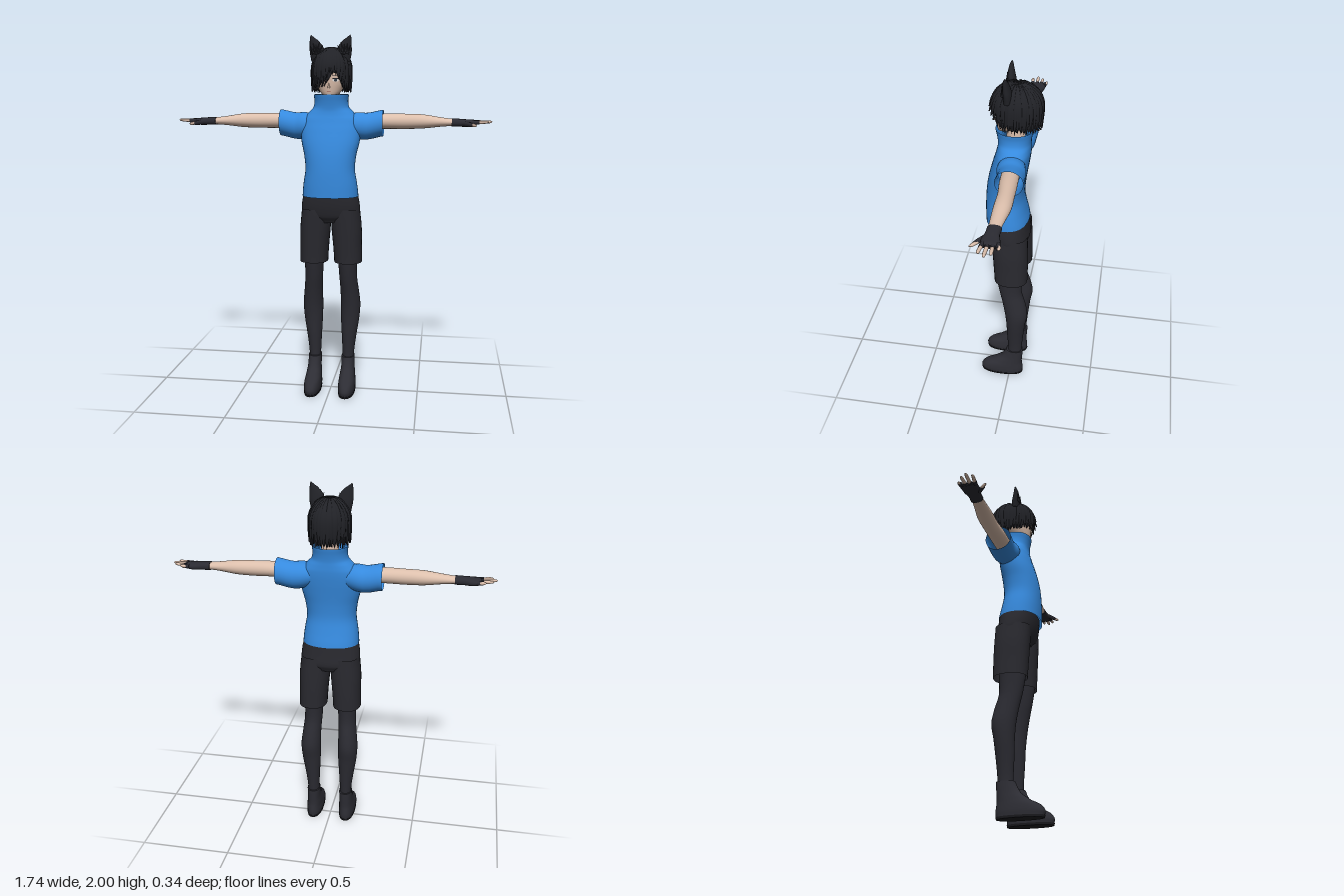
import * as THREE from 'three';

const mat = (name, color, side = THREE.FrontSide) => {
  const m = new THREE.MeshStandardMaterial({ color, side });
  m.name = name;
  return m;
};

// Catmull-Rom resampling of cross-section rows [t, c1, c2, r1, r2]
function resample(rows, k = 4) {
  const out = [], n = rows.length, at = (i) => rows[Math.min(n - 1, Math.max(0, i))];
  const spline = (a, b, c, d, f) =>
    b + 0.5 * f * (c - a + f * (2 * a - 5 * b + 4 * c - d + f * (3 * (b - c) + d - a)));
  for (let i = 0; i < n - 1; i++) for (let j = 0; j < k; j++) {
    const f = j / k, p = at(i - 1), q = at(i), r = at(i + 1), s = at(i + 2);
    out.push(q.map((v, d) => (d === 0 ? v + (r[0] - v) * f : spline(p[d], v, r[d], s[d], f))));
  }
  out.push(rows[n - 1]);
  return out;
}

function makeGeometry(pos, idx) {
  const g = new THREE.BufferGeometry();
  g.setAttribute('position', new THREE.Float32BufferAttribute(pos, 3));
  g.setIndex(idx);
  g.computeVertexNormals();
  return g;
}

// Smooth tube of rounded sections along y or x; rows run upward / outward
function loft(rows, { axis = 'y', seg = 28, power = 2, caps = true } = {}) {
  const R = resample(rows), pos = [], idx = [], up = axis === 'y';
  const put = (t, a, b) => (up ? pos.push(a, t, b) : pos.push(t, a, b));
  const tri = (a, b, c) => (up ? idx.push(a, c, b) : idx.push(a, b, c));
  const sq = (v) => Math.sign(v) * Math.abs(v) ** (2 / power);
  const ring = ([t, c1, c2, r1, r2]) => {
    for (let j = 0; j < seg; j++) {
      const th = (j / seg) * Math.PI * 2;
      put(t, c1 + r1 * sq(Math.cos(th)), c2 + r2 * sq(Math.sin(th)));
    }
  };
  R.forEach(ring);
  for (let i = 0; i < R.length - 1; i++) for (let j = 0; j < seg; j++) {
    const a = i * seg + j, b = i * seg + (j + 1) % seg;
    tri(a, b, a + seg);
    tri(b, b + seg, a + seg);
  }
  if (caps) [R[0], R[R.length - 1]].forEach((row, end) => {
    const o = pos.length / 3;
    ring(row);
    put(row[0], row[1], row[2]);
    for (let j = 0; j < seg; j++) {
      const a = o + j, b = o + (j + 1) % seg;
      if (end) tri(o + seg, a, b);
      else tri(o + seg, b, a);
    }
  });
  return makeGeometry(pos, idx);
}

function mirrored(geo) {
  const g = geo.clone(), p = g.attributes.position, ix = g.index.array;
  for (let i = 0; i < p.count; i++) p.setX(i, -p.getX(i));
  for (let i = 0; i < ix.length; i += 3) [ix[i + 1], ix[i + 2]] = [ix[i + 2], ix[i + 1]];
  g.computeVertexNormals();
  return g;
}

// Point on the hair surface: azimuth a (0 = front), s from crown (0) to tip (1)
function hairPoint(a, s, yEnd, grow) {
  const d = s * (0.18 + 1.82 - yEnd);
  let y, r;
  if (d < 0.18) {
    const phi = (d / 0.18) * Math.PI / 2;
    y = 1.82 + (0.115 + grow) * Math.cos(phi);
    r = Math.sin(phi);
  } else {
    y = 1.82 - (d - 0.18);
    r = 1 - 0.2 * ((1.82 - y) / 0.13) ** 2;
  }
  return new THREE.Vector3((0.105 + grow) * r * Math.sin(a), y, -0.025 + (0.127 + grow) * r * Math.cos(a));
}

// Lower hair edge by azimuth, leaving the left half of the face open
const edgeTable = [[-3.15, 1.7], [-1.9, 1.7], [-1.0, 1.71], [-0.6, 1.73], [-0.3, 1.735], [-0.08, 1.775],
  [0.1, 1.8], [0.45, 1.785], [0.62, 1.75], [0.9, 1.71], [1.9, 1.7], [3.15, 1.7]];
function hairEdge(a) {
  const i = Math.max(1, edgeTable.findIndex((e) => e[0] >= a));
  const [p, q] = [edgeTable[i - 1], edgeTable[i]];
  return p[1] + (q[1] - p[1]) * (a - p[0]) / (q[0] - p[0]);
}

// Tapered ridge-backed lock of hair
function lock(a0, a1, yEnd, width, flare) {
  const pos = [], idx = [], n = 10;
  for (let i = 0; i <= n; i++) {
    const s = 0.08 + 0.92 * i / n, a = a0 + (a1 - a0) * s * s;
    const p = hairPoint(a, s, yEnd, 0.003);
    const N = new THREE.Vector3(Math.sin(a), 0.25, Math.cos(a));
    const T = new THREE.Vector3(Math.cos(a), 0, -Math.sin(a));
    p.addScaledVector(N, flare * s ** 5);
    const w = width * Math.min(1, s * 2) * (1 - s ** 4) + 0.0004;
    for (const k of [-1, 0, 1]) {
      pos.push(...p.clone().addScaledVector(T, k * w).addScaledVector(N, k ? -0.002 : 0.005).toArray());
    }
    if (i) for (const k of [0, 1]) {
      const u = (i - 1) * 3 + k;
      idx.push(u, u + 3, u + 1, u + 1, u + 3, u + 4);
    }
  }
  return makeGeometry(pos, idx);
}

export function createModel() {
  const model = new THREE.Group();
  const skin = mat('skin', 0xdcbfac), shirt = mat('blue cloth', 0x368ade, THREE.DoubleSide);
  const shorts = mat('shorts cloth', 0x29292f, THREE.DoubleSide), tights = mat('tights', 0x2b2b32);
  const boot = mat('boot leather', 0x2d2d34), sole = mat('sole', 0x1b1b1f);
  const hair = mat('hair', 0x212227, THREE.DoubleSide), white = mat('eye white', 0xe8e6e4);
  const iris = mat('iris', 0x35404c), lip = mat('lip', 0xb98478);

  const add = (name, geo, m) => {
    const mesh = new THREE.Mesh(geo, m);
    mesh.name = name;
    model.add(mesh);
  };
  const pair = (name, geo, m) => {
    add('left' + name, geo, m);
    add('right' + name, mirrored(geo), m);
  };

  // Shirt with high collar and open sleeves
  add('shirt', loft([[1.13, 0, 0.022, 0.155, 0.118], [1.2, 0, 0.03, 0.148, 0.111], [1.28, 0, 0.036, 0.136, 0.103],
    [1.36, 0, 0.03, 0.144, 0.101], [1.43, 0, 0.018, 0.16, 0.099], [1.5, 0, 0.003, 0.165, 0.095],
    [1.555, 0, -0.008, 0.152, 0.09], [1.59, 0, -0.012, 0.122, 0.086], [1.615, 0, -0.012, 0.098, 0.086],
    [1.65, 0, -0.012, 0.092, 0.091], [1.685, 0, -0.012, 0.096, 0.098]], { seg: 40, power: 2.2, caps: false }), shirt);
  pair('Sleeve', loft([[0.09, 1.52, -0.015, 0.06, 0.065], [0.15, 1.515, -0.018, 0.073, 0.076],
    [0.2, 1.513, -0.025, 0.073, 0.071], [0.285, 1.53, -0.028, 0.072, 0.073]], { axis: 'x', caps: false }), shirt);

  // Shorts
  add('shortsHips', loft([[0.985, 0, -0.003, 0.12, 0.08], [1.02, 0, 0, 0.16, 0.1], [1.08, 0, 0.01, 0.162, 0.106],
    [1.15, 0, 0.017, 0.15, 0.108]], { seg: 36, power: 2.2 }), shorts);
  pair('ShortsLeg', loft([[0.755, 0.097, -0.008, 0.078, 0.093], [0.85, 0.093, -0.006, 0.08, 0.096],
    [0.95, 0.088, -0.002, 0.084, 0.098], [1.06, 0.082, 0.003, 0.08, 0.099]], { power: 2.3, caps: false }), shorts);

  // Legs and boots
  pair('Leg', loft([[0.15, 0.097, -0.03, 0.032, 0.04], [0.22, 0.097, -0.032, 0.034, 0.042], [0.32, 0.101, -0.034, 0.043, 0.049],
    [0.42, 0.106, -0.038, 0.053, 0.056], [0.5, 0.108, -0.04, 0.056, 0.066], [0.58, 0.104, -0.026, 0.052, 0.066],
    [0.66, 0.098, -0.006, 0.05, 0.064], [0.76, 0.095, 0.002, 0.054, 0.073], [0.9, 0.092, 0.002, 0.064, 0.08]]), tights);
  pair('Boot', loft([[0.01, 0.098, 0.046, 0.046, 0.125], [0.035, 0.098, 0.047, 0.048, 0.128], [0.065, 0.098, 0.038, 0.046, 0.116],
    [0.09, 0.097, 0.015, 0.043, 0.09], [0.13, 0.097, -0.013, 0.038, 0.064], [0.19, 0.096, -0.03, 0.037, 0.051]], { power: 2.3 }), boot);
  pair('Sole', loft([[0, 0.098, 0.046, 0.046, 0.125], [0.012, 0.098, 0.046, 0.048, 0.128]], { power: 2.3 }), sole);

  // Arms, fingerless gloves and fingers
  pair('Arm', loft([[0.14, 1.535, -0.022, 0.04, 0.045], [0.3, 1.54, -0.028, 0.041, 0.046], [0.4, 1.54, -0.034, 0.041, 0.042],
    [0.5, 1.54, -0.034, 0.038, 0.043], [0.6, 1.538, -0.028, 0.025, 0.034], [0.68, 1.536, -0.025, 0.018, 0.028]], { axis: 'x' }), skin);
  pair('Glove', loft([[0.655, 1.536, -0.026, 0.022, 0.034], [0.7, 1.535, -0.024, 0.021, 0.034], [0.74, 1.533, -0.024, 0.02, 0.044],
    [0.775, 1.535, -0.028, 0.016, 0.043], [0.79, 1.536, -0.029, 0.01, 0.038]], { axis: 'x', power: 2.4 }), tights);
  [[-0.063, 0.815], [-0.041, 0.852], [-0.018, 0.87], [0.005, 0.85]].forEach(([z, tip], i) => {
    const spread = (z + 0.028) * 0.25, y = 1.537;
    pair('Finger' + i, loft([[0.77, y, z, 0.009, 0.01], [tip - 0.02, y + 0.003, z + spread, 0.008, 0.0085],
      [tip - 0.006, y + 0.004, z + spread, 0.006, 0.006], [tip, y + 0.004, z + spread, 0.001, 0.001]], { axis: 'x', seg: 10 }), skin);
    pair('FingerCuff' + i, loft([[0.765, y, z, 0.012, 0.0115], [0.8, y + 0.001, z + spread * 0.5, 0.0105, 0.011]], { axis: 'x', seg: 10 }), tights);
  });
  pair('ThumbCuff', loft([[0.705, 1.533, -0.005, 0.014, 0.016], [0.735, 1.53, 0.018, 0.014, 0.016],
    [0.762, 1.526, 0.043, 0.011, 0.011]], { axis: 'x', seg: 12 }), tights);
  pair('Thumb', loft([[0.755, 1.527, 0.036, 0.009, 0.01], [0.778, 1.524, 0.056, 0.008, 0.009],
    [0.787, 1.523, 0.065, 0.001, 0.002]], { axis: 'x', seg: 10 }), skin);

  // Neck and head
  add('neck', loft([[1.56, 0, -0.02, 0.05, 0.05], [1.73, 0, -0.015, 0.046, 0.048]]), skin);
  const faceRows = [[1.664, 0, 0.052, 0.012, 0.018], [1.675, 0, 0.038, 0.034, 0.038], [1.7, 0, 0.016, 0.058, 0.066],
    [1.74, 0, 0, 0.078, 0.088], [1.79, 0, -0.008, 0.086, 0.099], [1.85, 0, -0.012, 0.083, 0.097], [1.9, 0, -0.02, 0.055, 0.06]];
  add('head', loft(faceRows), skin);
  const fine = resample(faceRows, 8);
  const faceZ = (x, y) => {
    const i = Math.max(1, fine.findIndex((r) => r[0] >= y)), p = fine[i - 1], q = fine[i];
    const f = (y - p[0]) / (q[0] - p[0]), mix = (d) => p[d] + (q[d] - p[d]) * f;
    return mix(2) + mix(4) * Math.sqrt(Math.max(0, 1 - (x / mix(3)) ** 2));
  };
  // Thin oval laid on the face
  const patch = (x, y, rx, ry, lift) => {
    const g = new THREE.CircleGeometry(1, 20).scale(rx, ry, 1).translate(x, y, 0), p = g.attributes.position;
    for (let i = 0; i < p.count; i++) p.setZ(i, faceZ(p.getX(i), p.getY(i)) + lift);
    g.computeVertexNormals();
    return g;
  };
  pair('EyeWhite', patch(0.036, 1.761, 0.016, 0.008, 0.002), white);
  pair('Iris', patch(0.036, 1.761, 0.0075, 0.008, 0.003), iris);
  pair('Eyelash', patch(0.037, 1.7695, 0.019, 0.0025, 0.004), hair);
  pair('Eyebrow', patch(0.037, 1.786, 0.019, 0.002, 0.003), hair);
  add('mouth', patch(0, 1.701, 0.014, 0.0022, 0.002), lip);
  add('nose', new THREE.ConeGeometry(0.008, 0.028, 8).translate(0, 1.734, 0.088), skin);

  // Hair cap with rippled surface and jagged edge
  let seed = 7;
  const rnd = () => (seed = (seed * 16807) % 2147483647) / 2147483647;
  const cols = 96, steps = 14, pos = [], idx = [];
  for (let j = 0; j < cols; j++) {
    const a = -Math.PI + (j / cols) * Math.PI * 2, groove = j % 3 === 0;
    const end = hairEdge(a) + (groove ? 0.018 : 0) + rnd() * 0.008;
    for (let i = 0; i <= steps; i++) {
      pos.push(...hairPoint(a, i / steps, end, groove ? -0.003 : 0.001).toArray());
      if (i) {
        const u = j * (steps + 1) + i - 1, v = ((j + 1) % cols) * (steps + 1) + i - 1;
        idx.push(u, u + 1, v, v, u + 1, v + 1);
      }
    }
  }
  add('hairCap', makeGeometry(pos, idx), hair);

  // Locks all round, then the long swept fringe
  for (let i = 0; i < 46; i++) {
    const a = -Math.PI + ((i + 0.5) / 46) * Math.PI * 2;
    add('hairLock' + i, lock(a + 0.3 * (rnd() - 0.5), a, hairEdge(a) - 0.012 * rnd(), 0.011 + 0.006 * rnd(), 0.004 + 0.014 * rnd()), hair);
  }
  [[0.5, -0.12, 1.745], [0.4, -0.25, 1.728], [0.25, -0.4, 1.725], [0.1, -0.6, 1.72], [0.2, 0.55, 1.765], [0.3, 0.75, 1.73]]
    .forEach(([a0, a1, y], i) => add('fringeLock' + i, lock(a0, a1, y, 0.015, 0.004), hair));

  // Pointed animal ears with tufts
  pair('AnimalEar', loft([[1.86, 0.07, 0.012, 0.036, 0.022], [1.91, 0.073, 0.015, 0.041, 0.022], [1.945, 0.079, 0.019, 0.035, 0.018],
    [1.975, 0.092, 0.021, 0.021, 0.012], [1.992, 0.103, 0.02, 0.008, 0.006], [2, 0.106, 0.02, 0.001, 0.001]], { seg: 16 }), hair);
  for (let i = 0; i < 5; i++) {
    const tuft = new THREE.ConeGeometry(0.009, 0.055, 5).rotateZ(0.45 - i * 0.22).translate(0.05 + i * 0.013, 1.925 + (i % 2) * 0.012, 0.036);
    pair('EarTuft' + i, tuft, hair);
  }
  return model;
}
